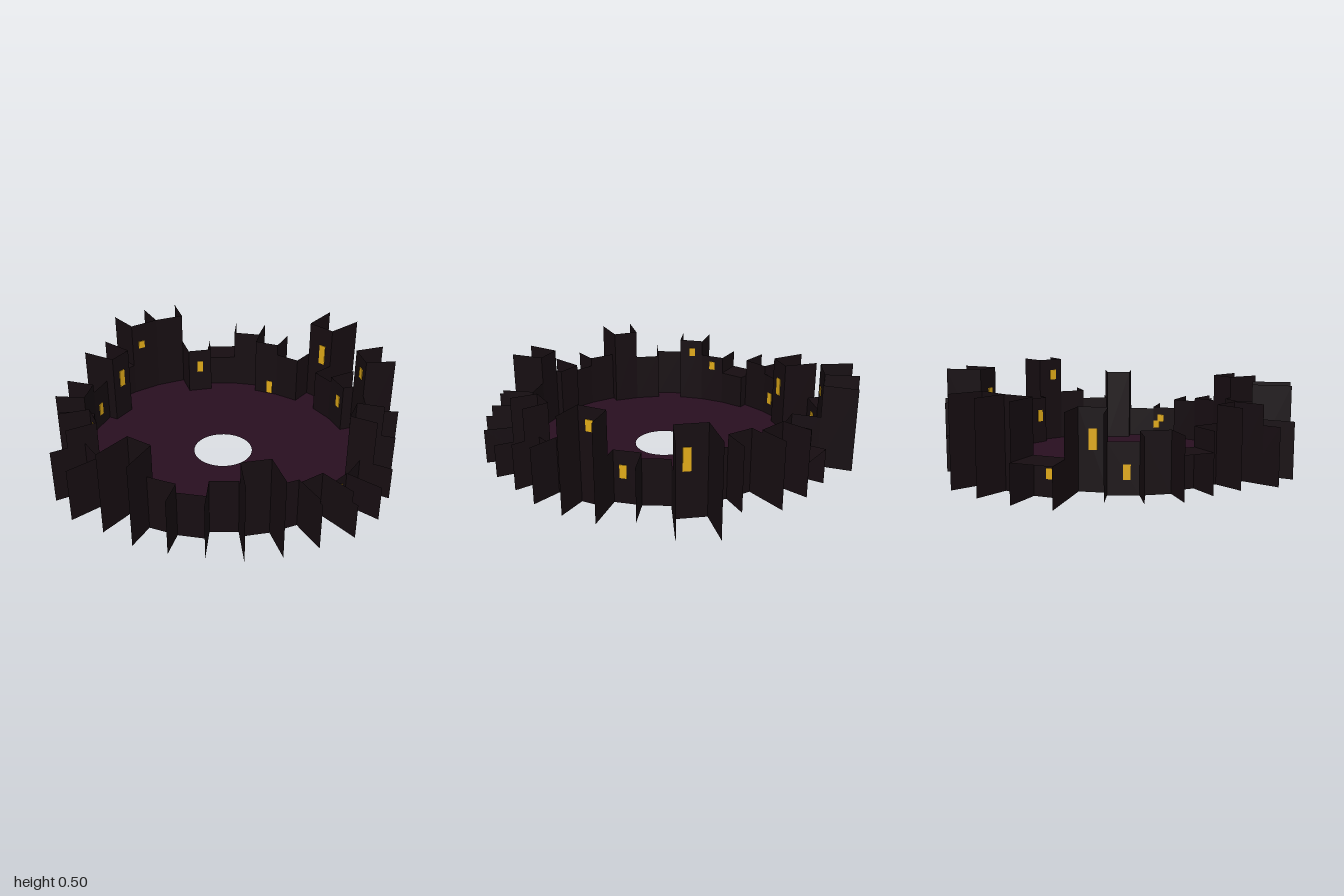
import * as THREE from 'three';

const CX = -0.04, CZ = 0.03;          // ring centre
const STEP = Math.PI / 16;            // 32 slots round the ring
const FLOOR = 0.01;

// one row per slot: [wall radius, outer radius, height, has a roof]
const SLOTS = [
  [0.86, 1.04, 0.455], [0.71, 0.86, 0.28], [0.78, 0.94, 0.19, 1], [0.78, 0.94, 0.36],
  [0.71, 0.86, 0.345], [0.71, 0.86, 0.28], [0.835, 1.05, 0.48], [0.71, 0.87, 0.25],
  [0.71, 0.87, 0.28], [0.77, 0.93, 0.505], [0.77, 0.93, 0.3], [0.77, 0.92, 0.25],
  [0.71, 0.85, 0.42], [0.78, 0.95, 0.18], [0.78, 0.975, 0.19], [0.745, 0.94, 0.25],
  [0.745, 0.92, 0.27], [0.745, 0.93, 0.425], [0.71, 0.9, 0.3], [0.76, 0.89, 0.25],
  [0.76, 0.9, 0.3], [0.71, 0.91, 0.445], [0.71, 0.91, 0.28], [0.78, 0.96, 0.29],
  [0.71, 0.87, 0.39], [0.71, 0.87, 0.3], [0.71, 0.87, 0.2, 1], [0.76, 0.92, 0.3],
  [0.76, 0.9, 0.25], [0.71, 0.9, 0.4], [0.86, 1.05, 0.19, 1], [0.86, 1.04, 0.455],
];

// windows: [slot, position along the wall 0..1, centre height, width, height]
const WINDOWS = [
  [14, 0.25, 0.12, 0.04, 0.045], [14, 0.0, 0.08, 0.04, 0.045], [31, 0.3, 0.32, 0.04, 0.045],
  [9, 0.65, 0.41, 0.04, 0.06], [8, 0.72, 0.17, 0.035, 0.07], [24, 0.58, 0.315, 0.035, 0.05],
  [6, 0.65, 0.305, 0.04, 0.12], [4, 0.75, 0.05, 0.035, 0.08], [11, 0.2, 0.04, 0.035, 0.06],
  [25, 0.5, 0.24, 0.035, 0.05], [29, 0.5, 0.25, 0.04, 0.1], [28, 0.35, 0.11, 0.035, 0.07],
  [30, 0.5, 0.11, 0.04, 0.05], [1, 0.5, 0.17, 0.035, 0.07],
];

// angle runs clockwise seen from above, starting at the back
const point = (slot, r, y) => new THREE.Vector3(
  CX + r * Math.sin(slot * STEP), y, CZ - r * Math.cos(slot * STEP));

function quads(list) {
  const corners = [];
  for (const [a, b, c, d] of list) corners.push(a, b, c, a, c, d);
  const g = new THREE.BufferGeometry().setFromPoints(corners);
  g.computeVertexNormals();
  return g;
}

export function createModel() {
  const group = new THREE.Group();
  const mat = (color) => new THREE.MeshStandardMaterial({ color, side: THREE.DoubleSide });
  const wallMat = mat(0x160d11), floorMat = mat(0x280f20), windowMat = mat(0xe0aa18);
  const add = (name, geometry, material) => {
    const mesh = new THREE.Mesh(geometry, material);
    mesh.name = name;
    group.add(mesh);
    return mesh;
  };

  // floor follows the stepped wall line, with a round hole in the middle
  const outline = [];
  SLOTS.forEach(([r], i) => {
    for (const s of [i, i + 1]) {
      const p = point(s, r, 0);
      const q = new THREE.Vector2(p.x, -p.z);
      if (!outline.length || outline[outline.length - 1].distanceTo(q) > 0.001) outline.push(q);
    }
  });
  const shape = new THREE.Shape(outline);
  shape.holes.push(new THREE.Path().absarc(CX, -CZ, 0.16, 0, Math.PI * 2, true));
  const floor = add('floor', new THREE.ShapeGeometry(shape, 24).rotateX(-Math.PI / 2), floorMat);
  floor.position.y = FLOOR / 2;

  // each building: a flat wall, two side walls reaching outward, sometimes a roof
  SLOTS.forEach(([r, out, h, roof], i) => {
    const rect = (s0, r0, s1, r1) => [
      point(s0, r0, 0), point(s1, r1, 0), point(s1, r1, h), point(s0, r0, h)];
    const faces = [rect(i, r, i + 1, r), rect(i, r, i, out), rect(i + 1, r, i + 1, out)];
    if (roof) faces.push([point(i, r, h), point(i + 1, r, h), point(i + 1, out, h), point(i, out, h)]);
    add('building' + (i + 1), quads(faces), wallMat);
  });

  // lit windows set through the walls
  for (const [slot, t, y, w, h] of WINDOWS) {
    const r = SLOTS[slot][0];
    const u = 0.14 + 0.72 * t;
    const pane = add('window', new THREE.BoxGeometry(w, h, 0.008), windowMat);
    pane.position.lerpVectors(point(slot, r, y), point(slot + 1, r, y), u);
    pane.rotation.y = -(slot + 0.5) * STEP;
  }
  return group;
}
